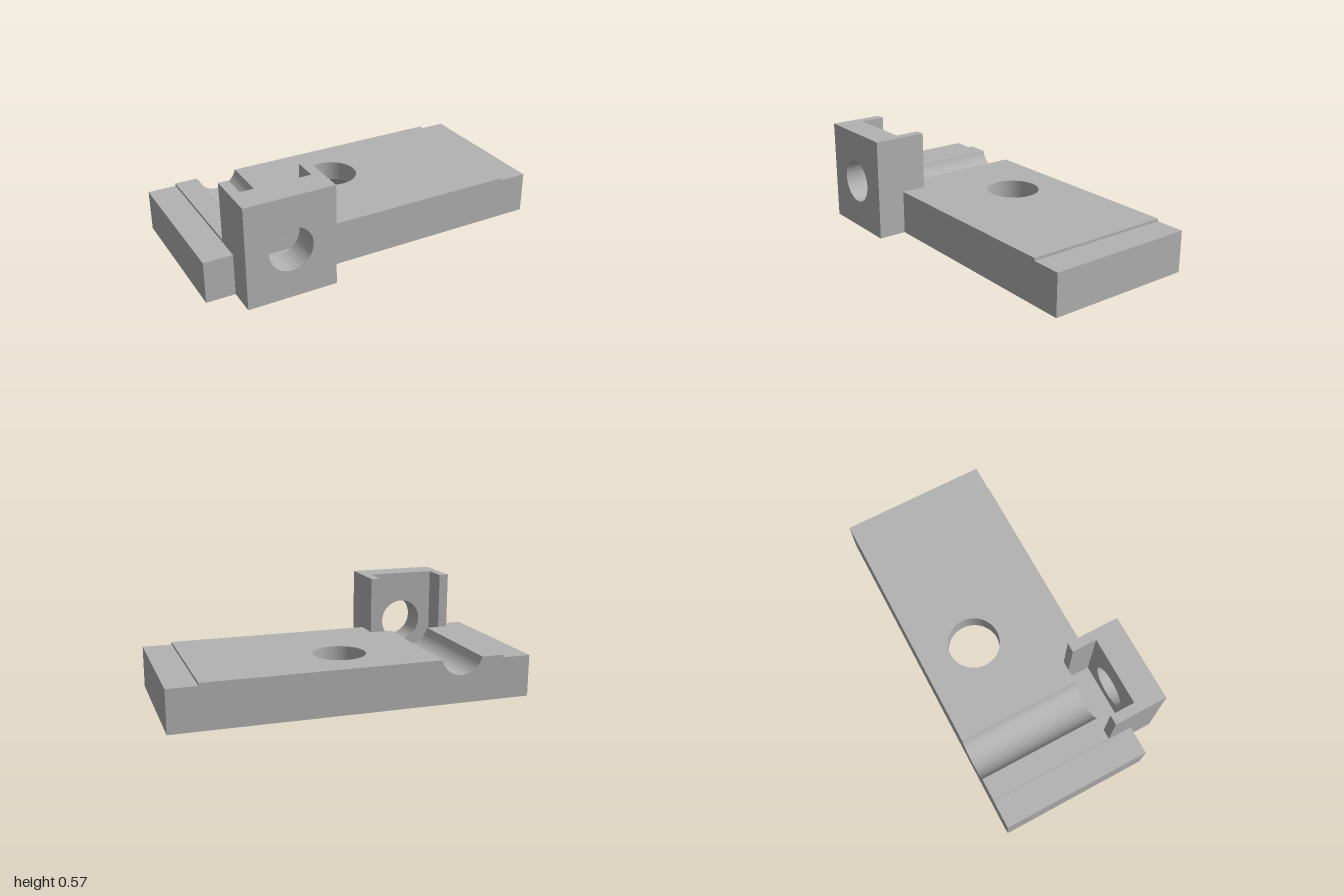
import * as THREE from 'three';
import { toCreasedNormals } from 'three/addons/utils/BufferGeometryUtils.js';

const BACK = -0.508, POST_BACK = 0.205, BASE_FRONT = 0.347, POST_FRONT = 0.508;
const TOP = 0.25, STEP = 0.235, POST_TOP = 0.575;
const BORE = { x: -0.592, y: 0.28, r: 0.122 };
const SCREW = { x: 0, z: -0.19, r: 0.148, sink: 0.285, depth: 0.137 };

export function createModel() {
  const model = new THREE.Group();
  model.name = 'clampPlate';
  const grey = new THREE.MeshStandardMaterial({ color: 0xb2b2b2 });
  grey.name = 'grey';

  const add = (parent, name, geometry, material = grey) => {
    const mesh = new THREE.Mesh(geometry, material);
    mesh.name = name;
    parent.add(mesh);
    return mesh;
  };
  const box = (parent, name, x0, x1, y0, y1, z0, z1) =>
    add(parent, name, new THREE.BoxGeometry(x1 - x0, y1 - y0, z1 - z0)
      .translate((x0 + x1) / 2, (y0 + y1) / 2, (z0 + z1) / 2));
  const extrude = (shape, depth) => toCreasedNormals(
    new THREE.ExtrudeGeometry(shape, { depth, bevelEnabled: false, curveSegments: 48 }), 0.5);
  const rectangle = (x0, x1, y0, y1) => new THREE.Shape([
    new THREE.Vector2(x0, y0), new THREE.Vector2(x1, y0),
    new THREE.Vector2(x1, y1), new THREE.Vector2(x0, y1)]);
  const drill = (shape, x, y, r) => {
    shape.holes.push(new THREE.Path().absarc(x, y, r, 0, Math.PI * 2, true));
    return shape;
  };

  // Base plate: raised middle with a countersunk screw hole
  const base = new THREE.Group();
  base.name = 'base';
  model.add(base);
  const slab = (name, radius, y0, y1) => {
    const plan = drill(rectangle(-0.34, 0.835, -BASE_FRONT, -BACK), SCREW.x, -SCREW.z, radius);
    add(base, name, extrude(plan, y1 - y0).rotateX(-Math.PI / 2).translate(0, y0, 0));
  };
  slab('lowerSlab', SCREW.sink, 0, SCREW.depth);
  slab('upperSlab', SCREW.r, SCREW.depth, TOP);

  // Conical seat of the screw hole, open at both ends
  const coneMaterial = grey.clone();
  coneMaterial.side = THREE.DoubleSide;
  add(base, 'countersink', new THREE.CylinderGeometry(
    SCREW.r, SCREW.sink, SCREW.depth, 64, 1, true)
    .translate(SCREW.x, SCREW.depth / 2, SCREW.z), coneMaterial);

  // Lower steps at both ends
  box(base, 'leftStep', 0.835, 1, 0, STEP, BACK, BASE_FRONT);
  box(base, 'rightStep', -1, -0.84, 0, STEP, POST_BACK, BASE_FRONT);

  // Grooved end, its round channel in line with the post bore
  const dip = Math.asin((BORE.y - TOP) / BORE.r);
  const half = BORE.r * Math.cos(dip);
  const groove = new THREE.Shape();
  groove.moveTo(-1, 0);
  groove.lineTo(-0.34, 0);
  groove.lineTo(-0.34, TOP);
  groove.lineTo(BORE.x + half, TOP);
  groove.absarc(BORE.x, BORE.y, BORE.r, -dip, -Math.PI + dip, true);
  groove.lineTo(-0.84, TOP);
  groove.lineTo(-0.84, STEP);
  groove.lineTo(-1, STEP);
  groove.closePath();
  add(base, 'groovedEnd', extrude(groove, POST_BACK - BACK).translate(0, 0, BACK));

  // Post: bored front plate, two side walls and a pocket floor
  const post = new THREE.Group();
  post.name = 'post';
  model.add(post);
  const face = drill(rectangle(-0.84, -0.34, 0, POST_TOP), BORE.x, BORE.y, BORE.r);
  add(post, 'frontPlate', extrude(face, POST_FRONT - BASE_FRONT).translate(0, 0, BASE_FRONT));
  box(post, 'rightWall', -0.84, -0.785, 0, POST_TOP, POST_BACK, BASE_FRONT);
  box(post, 'leftWall', -0.395, -0.34, 0, POST_TOP, POST_BACK, BASE_FRONT);
  box(post, 'pocketFloor', -0.785, -0.395, 0, 0.085, POST_BACK, BASE_FRONT);

  return model;
}
